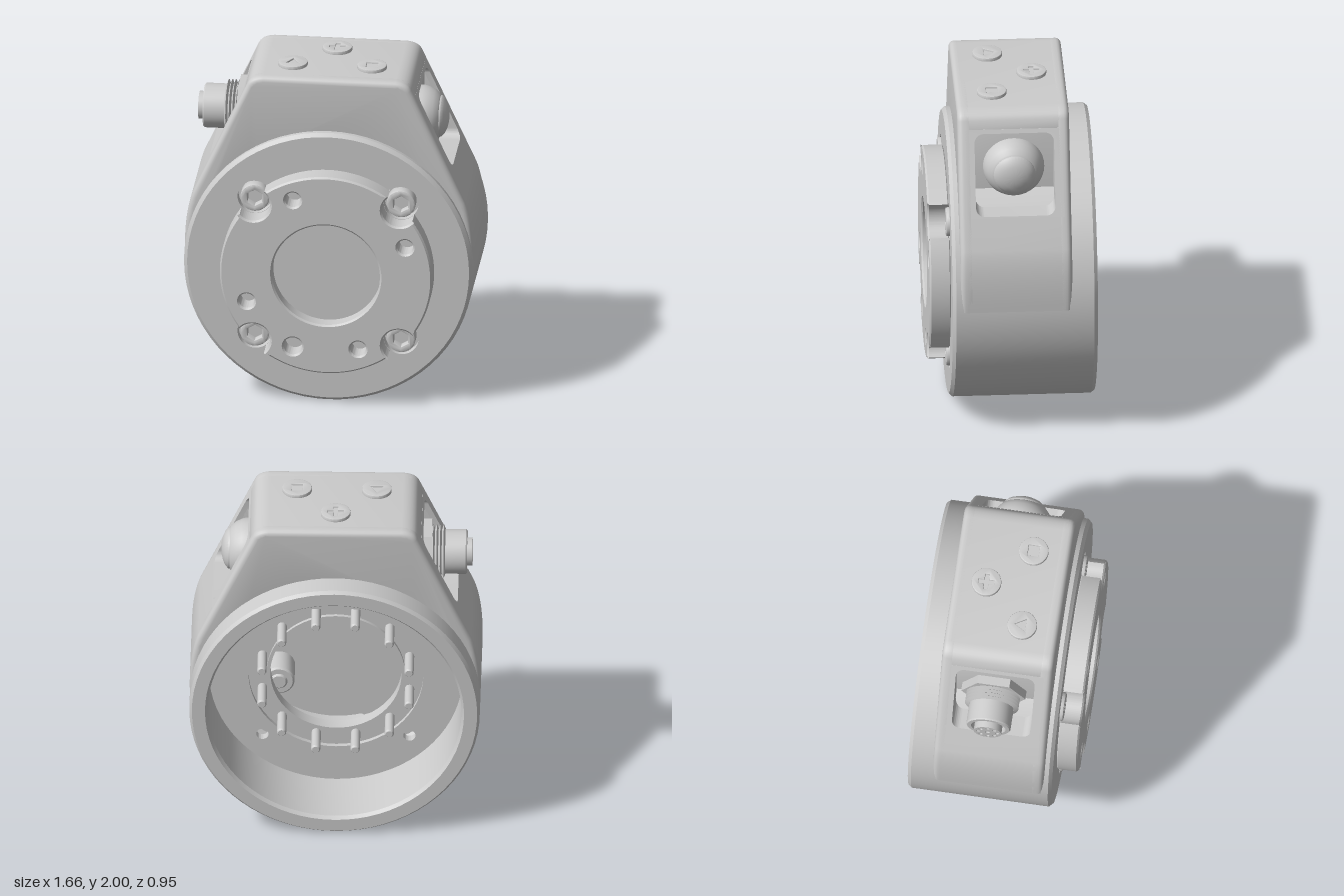
import * as THREE from 'three';
import { toCreasedNormals } from 'three/addons/utils/BufferGeometryUtils.js';

const mat = new THREE.MeshStandardMaterial({ color: 0xcccccc, side: THREE.DoubleSide });
const CY = 0.835; // height of the main axis
const V = (x, y) => new THREE.Vector2(x, y);

function add(parent, name, geo, x = 0, y = 0, z = 0) {
  const m = new THREE.Mesh(toCreasedNormals(geo, 0.6), mat);
  m.name = name;
  m.position.set(x, y, z);
  parent.add(m);
  return m;
}

const lathe = (pts, n = 64) => new THREE.LatheGeometry(pts.map(p => V(...p)), n);
const latheZ = (pts, n) => lathe(pts, n).rotateX(Math.PI / 2);
const latheX = (pts, side, n = 40) => lathe(pts, n).rotateZ(-side * Math.PI / 2);

// extrusion spanning z0..z1, optionally with rounded edges kept inside the outline
function extrude(shape, z0, z1, bevel = 0, seg = 1, curveSegments = 32) {
  return new THREE.ExtrudeGeometry(shape, {
    depth: z1 - z0 - 2 * bevel, curveSegments, bevelEnabled: bevel > 0,
    bevelSize: bevel, bevelThickness: bevel, bevelOffset: -bevel, bevelSegments: seg,
  }).translate(0, 0, z0 + bevel);
}

const circle = (x, y, r, C = THREE.Path) => new C().absarc(x, y, r, 0, Math.PI * 2, false);
const disc = (r, holes = []) => {
  const s = circle(0, 0, r, THREE.Shape);
  s.holes.push(...holes);
  return s;
};
const polygon = (n, r, turn = 0, C = THREE.Path) => new C().setFromPoints(
  Array.from({ length: n }, (_, i) => V(r * Math.cos(turn + i * 2 * Math.PI / n), r * Math.sin(turn + i * 2 * Math.PI / n))));

function roundRect(x0, y0, x1, y1, r) {
  const p = new THREE.Path();
  p.absarc(x1 - r, y1 - r, r, 0, Math.PI / 2);
  p.absarc(x0 + r, y1 - r, r, Math.PI / 2, Math.PI);
  p.absarc(x0 + r, y0 + r, r, Math.PI, Math.PI * 1.5);
  p.absarc(x1 - r, y0 + r, r, Math.PI * 1.5, Math.PI * 2);
  p.closePath();
  return p;
}

const slopeX = y => 0.47 + (1.93 - y) * 0.457; // sloping side of the head
const WALL = 0.49; // back wall of the side pockets

// front outline of the head; pocketed leaves out the sides for the pocket panels
function headShape(pocketed) {
  const right = [];
  const flare = new THREE.QuadraticBezierCurve(V(0.831, 0.88), V(0.832, 1.12), V(slopeX(1.25), 1.25));
  right.push(...flare.getPoints(10));
  if (pocketed) right.push(V(slopeX(1.42), 1.42), V(WALL, 1.42), V(WALL, 1.885));
  right.push(...new THREE.QuadraticBezierCurve(V(0.47, 1.93), V(0.45, 1.975), V(0.38, 1.98)).getPoints(6));
  const left = right.map(p => V(-p.x, p.y)).reverse();
  const inner = Array.from({ length: 41 }, (_, i) => {
    const a = Math.PI * (1 - i / 40);
    return V(0.745 * Math.cos(a), CY + 0.045 + 0.7 * Math.sin(a));
  });
  return new THREE.Shape([...right, ...left, ...inner]);
}

export function createModel() {
  const root = new THREE.Group();
  const diagonals = [0, 1, 2, 3].map(i => Math.PI / 4 + i * Math.PI / 2);
  const boltR = 0.594;
  const boltHoles = r => diagonals.map(a => circle(boltR * Math.cos(a), boltR * Math.sin(a), r));

  // round housing, open at the back
  add(root, 'housingShell', latheZ([[0.725, -0.06], [0.725, -0.455], [0.74, -0.475], [0.815, -0.475],
    [0.83, -0.455], [0.83, 0.335], [0.81, 0.355], [0.715, 0.355]], 72), 0, CY);
  add(root, 'frontPlate', extrude(disc(0.72, boltHoles(0.1)), 0.3, 0.355), 0, CY);
  add(root, 'frontPlateBacking', extrude(disc(0.72), 0.26, 0.3), 0, CY);

  // raised flange with bolt notches, dowel holes and a shallow central recess
  const flange = new THREE.Shape();
  const phi = 0.164, psi = 1.493;
  diagonals.forEach(a => {
    flange.absarc(0, 0, 0.61, a - Math.PI / 2 + phi, a - phi, false);
    flange.absarc(boltR * Math.cos(a), boltR * Math.sin(a), 0.1, a - psi, a + psi, true);
  });
  flange.closePath();
  flange.holes.push(circle(0, 0, 0.31));
  [[-0.19, 0.46], [0.455, 0.195], [0.185, -0.45], [-0.455, -0.18], [-0.19, -0.45]]
    .forEach(([x, y], i) => flange.holes.push(circle(x, y, i === 4 ? 0.053 : 0.045)));
  add(root, 'flange', extrude(flange, 0.35, 0.475, 0.01), 0, CY);
  add(root, 'recessFloor', extrude(disc(0.315), 0.35, 0.39), 0, CY);

  // socket screws
  diagonals.forEach(a => {
    const screw = new THREE.Group();
    screw.name = 'flangeScrew';
    screw.position.set(boltR * Math.cos(a) * 1, CY + boltR * Math.sin(a), 0);
    add(screw, 'screwHead', extrude(disc(0.083, [polygon(6, 0.048, Math.PI / 6)]), 0.29, 0.375, 0.01, 2, 16));
    add(screw, 'socketFloor', extrude(disc(0.06), 0.29, 0.325));
    root.add(screw);
  });

  // inside of the back: floor, stepped ring, pins and inner chamber
  add(root, 'cavityFloor', extrude(disc(0.73, [circle(0, 0, 0.5), ...boltHoles(0.035)]), -0.08, -0.03), 0, CY);
  add(root, 'pinRing', extrude(disc(0.505, [circle(0, 0, 0.375)]), -0.055, 0), 0, CY);
  add(root, 'pinRingLip', latheZ([[0.375, 0], [0.375, -0.075], [0.395, -0.075], [0.395, -0.05]]), 0, CY);
  add(root, 'chamberWall', latheZ([[0.52, 0.27], [0.52, -0.03]]), 0, CY);
  for (let i = 0; i < 12; i++) {
    const a = (i + 0.5) * Math.PI / 6;
    add(root, 'backPin', latheZ([[0, -0.235], [0.02, -0.235], [0.027, -0.225], [0.027, -0.04]], 16),
      0.435 * Math.cos(a), CY + 0.435 * Math.sin(a));
  }
  const board = new THREE.Shape([V(0.28, 0.42), V(0.28, 0.2), V(0.2, 0.14), V(0.2, -0.22), V(0.08, -0.36)]);
  board.absarc(0, 0, 0.5, Math.PI * 1.4, Math.PI * 0.32, true);
  add(root, 'chamberBoard', extrude(board, 0.21, 0.265), 0, CY);
  add(root, 'chamberBoss', latheZ([[0, 0.08], [0.04, 0.08], [0.05, 0.09], [0.08, 0.09], [0.09, 0.1], [0.09, 0.27]], 28),
    0.33, CY - 0.17);
  const segment = new THREE.Shape().absarc(0, 0, 0.73, Math.PI * 0.29, Math.PI * 0.71, false);
  segment.closePath();
  add(root, 'cavityTopBlock', extrude(segment, -0.27, -0.06), 0, CY);

  // head: rounded front and back slabs with a narrower core between the pockets
  add(root, 'headFront', extrude(headShape(false), 0.215, 0.31, 0.03, 4));
  add(root, 'headBack', extrude(headShape(false), -0.33, -0.24, 0.03, 4));
  add(root, 'headCore', extrude(headShape(true), -0.29, 0.27));

  // sloping side panels, each with a rounded pocket opening
  [1, -1].forEach(side => {
    const [u0, u1] = side > 0 ? [-0.215, 0.24] : [-0.24, 0.215];
    const s = new THREE.Shape([V(u0 - 0.05, 1.42), V(u1 + 0.05, 1.42), V(u1 + 0.05, 1.885), V(u0 - 0.05, 1.885)]);
    s.holes.push(roundRect(u0, 1.43, u1, 1.862, 0.05));
    const g = extrude(s, 0, 1, 0, 1, 8).rotateY(side * Math.PI / 2);
    const p = g.attributes.position;
    for (let i = 0; i < p.count; i++) {
      const t = Math.abs(p.getX(i));
      p.setX(i, side * (WALL + (slopeX(p.getY(i)) - WALL) * t));
    }
    add(root, 'pocketPanel', g);
  });

  // domed indicator on the left side
  add(root, 'indicatorDome', latheX([[0.175, 0.48], [0.175, 0.51], [0.168, 0.54], [0.152, 0.573], [0.13, 0.6],
    [0.12, 0.606], [0.118, 0.615], [0.1, 0.632], [0.07, 0.646], [0.035, 0.654], [0, 0.656]], 1), 0, 1.65, -0.01);

  // round connector on the right side
  const plug = new THREE.Group();
  plug.name = 'connector';
  plug.position.set(0, 1.65, -0.02);
  root.add(plug);
  add(plug, 'connectorNut', new THREE.CylinderGeometry(0.185, 0.185, 0.05, 6).rotateZ(Math.PI / 2), -0.525);
  const thread = [[0.13, 0.545]];
  for (let i = 0; i < 4; i++) thread.push([0.155, 0.555 + i * 0.02], [0.13, 0.565 + i * 0.02]);
  add(plug, 'connectorThread', latheX(thread, -1));
  add(plug, 'connectorBarrel', latheX([[0.128, 0.6], [0.128, 0.742], [0.122, 0.75], [0.1, 0.75], [0.1, 0.7], [0, 0.7]], -1));
  const insert = disc(0.08);
  for (let i = 0; i < 8; i++) insert.holes.push(circle(0.055 * Math.cos(i * Math.PI / 4), 0.055 * Math.sin(i * Math.PI / 4), 0.012));
  insert.holes.push(circle(0, 0, 0.014));
  add(plug, 'connectorInsert', extrude(insert, 0.69, 0.78, 0, 1, 10).rotateY(-Math.PI / 2));

  // three push buttons with sunken triangle, cross and square
  const w = 0.012, l = 0.045;
  const cross = new THREE.Path([V(w, w), V(w, l), V(-w, l), V(-w, w), V(-l, w), V(-l, -w),
    V(-w, -w), V(-w, -l), V(w, -l), V(w, -w), V(l, -w), V(l, w)]);
  [[-0.23, 0.1, polygon(3, 0.042, Math.PI / 2)], [0, -0.14, cross], [0.225, 0.1, polygon(4, 0.045, Math.PI / 4)]]
    .forEach(([x, z, mark]) => {
      add(root, 'button', extrude(disc(0.085, [mark]), 1.96, 2, 0.006, 2).rotateX(-Math.PI / 2), x, 0, z);
      add(root, 'buttonMarkFloor', extrude(disc(0.07), 1.96, 1.99).rotateX(-Math.PI / 2), x, 0, z);
    });

  return root;
}
